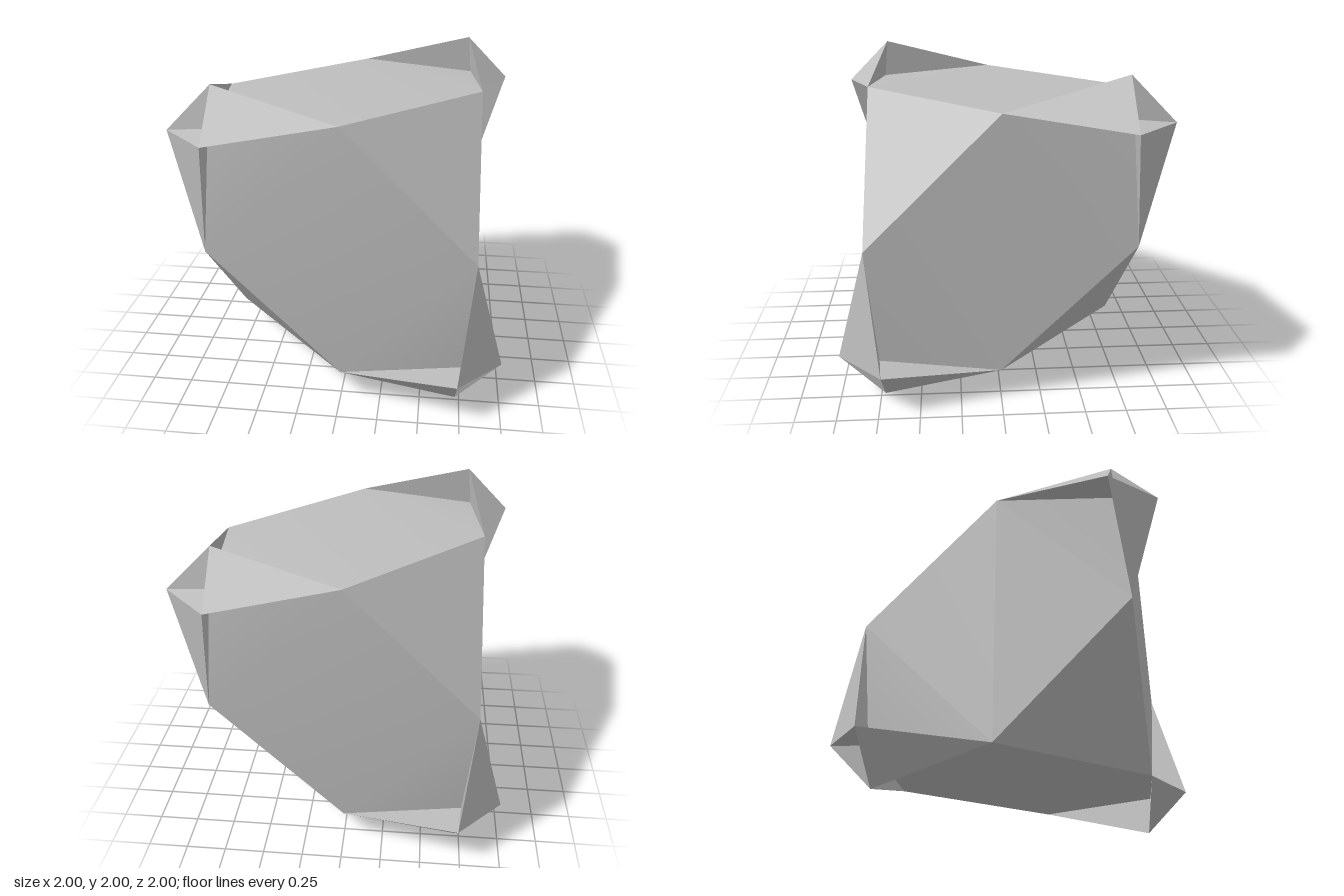
import * as THREE from 'three';

const E = 0.808; // edge midpoints of the block
const P = 0.75;  // root of each pointed corner
const T = 0.725; // short coordinate of a spike tip (long one is 1)

// Flat triangles, each wound to face away from the given inside point
function flatMesh(name, tris, inside, material) {
  const pos = [];
  for (const [a, b, c] of tris) {
    const n = b.clone().sub(a).cross(c.clone().sub(a));
    const out = n.dot(a.clone().sub(inside)) > 0;
    for (const p of out ? [a, b, c] : [a, c, b]) pos.push(p.x, p.y, p.z);
  }
  const g = new THREE.BufferGeometry();
  g.setAttribute('position', new THREE.Float32BufferAttribute(pos, 3));
  g.computeVertexNormals();
  const mesh = new THREE.Mesh(g, material);
  mesh.name = name;
  return mesh;
}

// Six-sided panel on one side of the block, two opposite corners bent inward
function panel(axis, d, material) {
  const u = (axis + 1) % 3, v = (axis + 2) % 3;
  const pos = [], idx = [];
  const add = (k, a, b) => {
    const p = [0, 0, 0];
    p[axis] = k; p[u] = a; p[v] = b;
    pos.push(...p);
    return pos.length / 3 - 1;
  };
  const face = (a, b, c) => idx.push(...(d > 0 ? [a, b, c] : [a, c, b]));
  const dirs = [[1, 0], [0, 1], [-1, 0], [0, -1]];
  dirs.forEach(([a, b]) => add(d * E, a * E, b * E));
  face(0, 1, 2);
  face(0, 2, 3);
  for (let i = 0; i < 4; i++) {
    const j = (i + 1) % 4;
    const su = dirs[i][0] + dirs[j][0], sv = dirs[i][1] + dirs[j][1];
    if (d * su * sv < 0) face(i, add(d * P, su * P, sv * P), j);
  }
  const g = new THREE.BufferGeometry();
  g.setAttribute('position', new THREE.Float32BufferAttribute(pos, 3));
  g.setIndex(idx);
  g.computeVertexNormals();
  const mesh = new THREE.Mesh(g, material);
  mesh.name = 'sidePanel';
  return mesh;
}

export function createModel() {
  const grey = new THREE.MeshStandardMaterial({ color: 0xbebebe });
  grey.name = 'grey';
  const body = new THREE.Group();
  body.name = 'body';

  for (let axis = 0; axis < 3; axis++)
    for (const d of [1, -1]) body.add(panel(axis, d, grey));

  for (const sx of [1, -1]) for (const sy of [1, -1]) for (const sz of [1, -1]) {
    const s = new THREE.Vector3(sx, sy, sz);
    // Points of this corner with one coordinate singled out
    const point = (i, single, rest) =>
      new THREE.Vector3(rest, rest, rest).setComponent(i, single).multiply(s);
    const mids = [0, 1, 2].map(i => point(i, 0, E));

    // Cut corners
    if (sx * sy * sz > 0) {
      body.add(flatMesh('cornerCut', [mids], new THREE.Vector3(), grey));
      continue;
    }

    // Pointed corners: three thin spikes around a shared root
    const tips = [0, 1, 2].map(i => point(i, 1, T));
    const root = point(0, P, P);
    const corner = new THREE.Group();
    corner.name = 'pointedCorner';
    for (let i = 0; i < 3; i++) {
      const m = mids[i], a = tips[(i + 1) % 3], b = tips[(i + 2) % 3];
      const inside = m.clone().add(a).add(b).add(root).multiplyScalar(0.25);
      corner.add(flatMesh('spike',
        [[m, a, b], [m, root, a], [m, root, b], [a, b, root]], inside, grey));
    }
    body.add(corner);
  }

  body.position.y = 1;
  const model = new THREE.Group();
  model.name = 'facetedBlock';
  model.add(body);
  return model;
}
